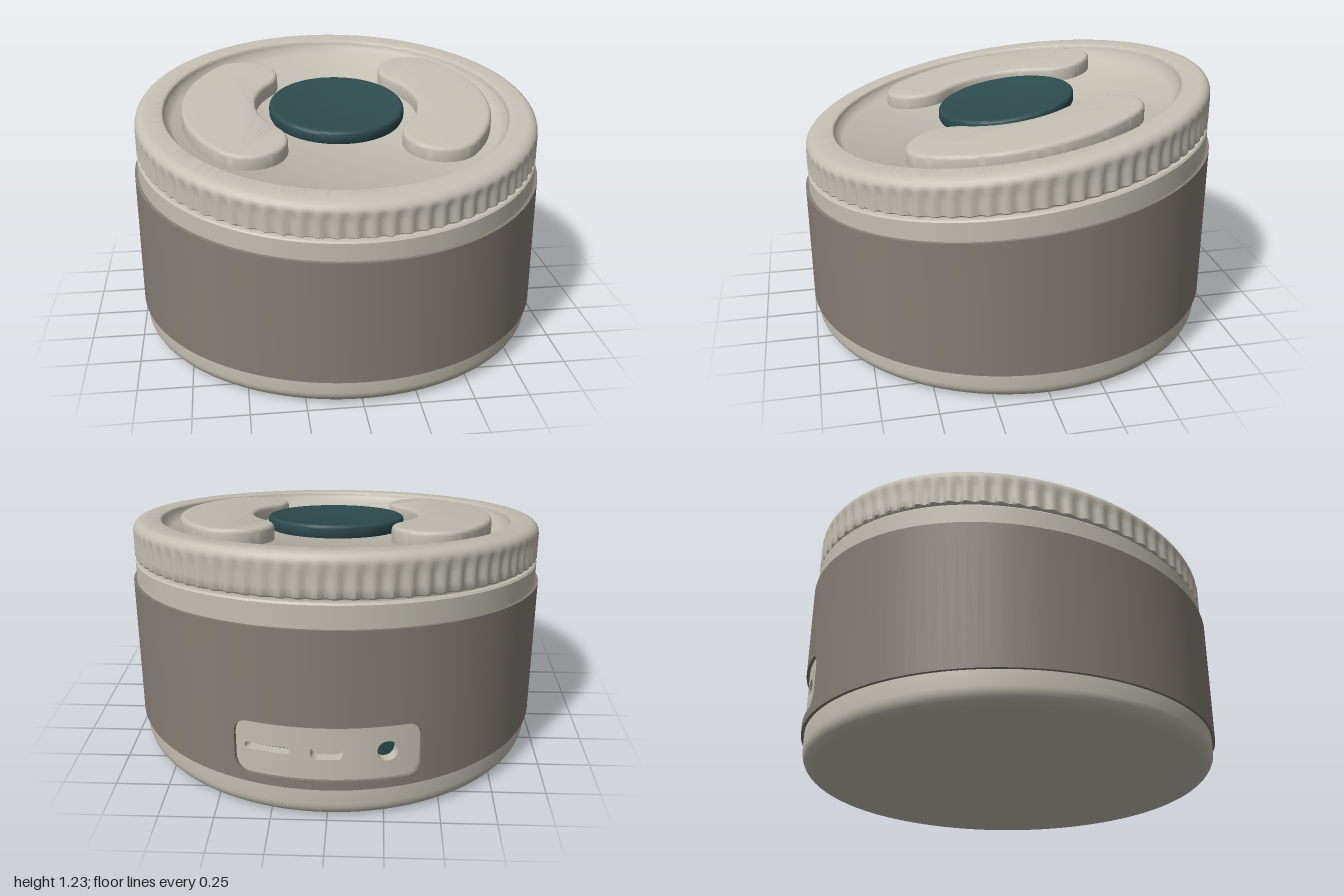
import * as THREE from 'three';
import { toCreasedNormals } from 'three/addons/utils/BufferGeometryUtils.js';

const shell = new THREE.MeshStandardMaterial({ color: 0xc4bfb3 });
shell.name = 'warmLightGrey';
const band = new THREE.MeshStandardMaterial({ color: 0x857d75 });
band.name = 'taupeGrey';
const teal = new THREE.MeshStandardMaterial({ color: 0x2d4b4d });
teal.name = 'darkTeal';

// Everything is modelled level, then slanted: the higher a point, the steeper its plane.
function slant(geometry, crease = 0.6) {
  const p = geometry.attributes.position;
  for (let i = 0; i < p.count; i++) {
    const y = p.getY(i);
    p.setY(i, y - 0.138 * Math.max(0, y - 0.03) * p.getZ(i));
  }
  return toCreasedNormals(geometry, crease);
}

function part(group, name, geometry, material, crease) {
  const mesh = new THREE.Mesh(slant(geometry, crease), material);
  mesh.name = name;
  group.add(mesh);
}

const lathe = (pts, segments = 128) =>
  new THREE.LatheGeometry(pts.map(([r, y]) => new THREE.Vector2(r, y)), segments);

// Quarter round from angle a0 to a1 around (r, y)
function arc(r, y, radius, a0, a1, n = 6) {
  return Array.from({ length: n + 1 }, (_, i) => {
    const a = a0 + (a1 - a0) * i / n;
    return [r + radius * Math.cos(a), y + radius * Math.sin(a)];
  });
}

// Point on a cylinder; angle 0 is the middle of the back
const at = (r, a, y) => [r * Math.sin(a), y, -r * Math.cos(a)];

function quadGeometry(quads) {
  const pos = [];
  for (const [a, b, c, d] of quads) pos.push(...a, ...b, ...c, ...a, ...c, ...d);
  const g = new THREE.BufferGeometry();
  g.setAttribute('position', new THREE.Float32BufferAttribute(pos, 3));
  return g;
}

// Strip of cylinder between a lower and an upper edge: columns are [angle, low, high]
function strip(r, columns) {
  return columns.slice(1).map(([a1, l1, h1], i) => {
    const [a0, l0, h0] = columns[i];
    return [at(r, a0, l0), at(r, a0, h0), at(r, a1, h1), at(r, a1, l1)];
  });
}

// Rounded opening as columns; w and h are half sizes, c the corner radius
function opening(r, { a, y, w, h, c }) {
  const n = 32;
  return Array.from({ length: n + 1 }, (_, i) => {
    const s = -w * Math.cos(Math.PI * i / n);
    const d = Math.max(0, Math.abs(s) - (w - c));
    const half = h - c + Math.sqrt(Math.max(0, c * c - d * d));
    return [a + s / r, y - half, y + half];
  });
}

// Cylinder wall with openings, each with an inner rim of the given depth
function wall(r, low, high, holes, depth) {
  const quads = [];
  let start = -Math.PI;
  const plain = (a0, a1) => {
    const n = Math.max(1, Math.ceil((a1 - a0) / 0.05));
    quads.push(...strip(r, Array.from({ length: n + 1 }, (_, i) => [a0 + (a1 - a0) * i / n, low, high])));
  };
  for (const hole of holes) {
    const cols = opening(r, hole);
    plain(start, cols[0][0]);
    quads.push(...strip(r, cols.map(([a, l]) => [a, low, l])));
    quads.push(...strip(r, cols.map(([a, , h]) => [a, h, high])));
    const loop = [...cols.map(([a, , h]) => [a, h]), ...cols.map(([a, l]) => [a, l]).reverse()];
    loop.forEach(([a, y], i) => {
      const [b, v] = loop[(i + 1) % loop.length];
      quads.push([at(r, a, y), at(r, b, v), at(r - depth, b, v), at(r - depth, a, y)]);
    });
    start = cols[cols.length - 1][0];
  }
  plain(start, Math.PI);
  return quadGeometry(quads);
}

export function createModel() {
  const model = new THREE.Group();
  model.name = 'slantedSpeaker';
  const R = 0.985;

  // Base with rounded foot, port wall and recessed neck
  const base = new THREE.Group();
  base.name = 'base';
  model.add(base);
  part(base, 'foot', lathe([[0, 0], ...arc(R - 0.07, 0.07, 0.07, -Math.PI / 2, 0, 8), [R, 0.12]]), shell);
  const ports = [
    { name: 'roundSocket', a: -0.27, y: 0.295, w: 0.047, h: 0.042, c: 0.042, back: teal },
    { name: 'ovalPort', a: 0, y: 0.295, w: 0.072, h: 0.028, c: 0.028, back: shell },
    { name: 'cardSlot', a: 0.27, y: 0.295, w: 0.105, h: 0.014, c: 0.014, back: teal },
  ];
  part(base, 'baseWall', wall(R, 0.12, 0.9, ports, 0.05), shell);
  for (const port of ports) {
    part(base, port.name, quadGeometry(strip(R - 0.05, opening(R, port))), port.back);
  }
  part(base, 'neck', lathe([[R, 0.9], [0.978, 0.908], [0.955, 0.908], [0.955, 0.92]]), shell);

  // Thin sleeve with the port window at the back
  const sleeve = new THREE.Group();
  sleeve.name = 'sleeve';
  model.add(sleeve);
  const portWindow = { a: 0, y: 0.295, w: 0.42, h: 0.115, c: 0.065 };
  part(sleeve, 'sleeveWall', wall(1, 0.14, 0.807, [portWindow], 0.015), band);
  part(sleeve, 'sleeveLowerEdge', lathe([[R, 0.14], [1, 0.14]]), band);
  part(sleeve, 'sleeveUpperEdge', lathe([[1, 0.807], [R, 0.807]]), band);

  // Fluted ring with raised rim and sunken floor
  const flutes = 80;
  const ring = lathe([
    [0.95, 0.918], [0.976, 0.918], [R, 0.926], [R, 0.96], [R, 1.0], [R, 1.02],
    ...arc(R - 0.05, 1.046, 0.05, 0, Math.PI / 2),
    ...arc(0.86, 1.081, 0.015, Math.PI / 2, Math.PI, 4),
    [0.84, 1.065], [0.808, 1.035], [0, 1.035],
  ], flutes * 6);
  const p = ring.attributes.position;
  for (let i = 0; i < p.count; i++) {
    const x = p.getX(i), y = p.getY(i), z = p.getZ(i);
    const r = Math.hypot(x, z);
    if (r < 0.96) continue;
    const fade = THREE.MathUtils.clamp((1.065 - y) / 0.05, 0, 1);
    const k = 1 - 0.014 * fade * (0.5 + 0.5 * Math.cos(flutes * Math.atan2(x, z))) / r;
    p.setX(i, x * k);
    p.setZ(i, z * k);
  }
  part(model, 'flutedRing', ring, shell, 0.75);

  // Two curved pads hugging the button
  const mid = 0.579, half = 0.18, bevel = 0.02, end = 0.685;
  const inset = half - bevel;
  for (const side of [1, -1]) {
    const turn = side > 0 ? 0 : Math.PI;
    const shape = new THREE.Shape();
    const cap = (a) => [mid * Math.cos(turn + a), mid * Math.sin(turn + a)];
    shape.absarc(0, 0, mid + inset, turn - end, turn + end, false);
    shape.absarc(...cap(end), inset, turn + end, turn + end + Math.PI, false);
    shape.absarc(0, 0, mid - inset, turn + end, turn - end, true);
    shape.absarc(...cap(-end), inset, turn - end + Math.PI, turn - end + 2 * Math.PI, false);
    const pad = new THREE.ExtrudeGeometry(shape, {
      depth: 0.06, bevelSize: bevel, bevelThickness: bevel, bevelSegments: 4, curveSegments: 24,
    });
    pad.rotateX(-Math.PI / 2).translate(0, 1.028, 0);
    part(model, side > 0 ? 'leftPad' : 'rightPad', pad, shell);
  }

  // Dished button
  const dish = [0.295, 0.24, 0.18, 0.12, 0.06, 0].map((r) => [r, 1.07 + 0.024 * (r / 0.295) ** 2]);
  part(model, 'button', lathe([
    [0.322, 1.03], [0.332, 1.05], ...arc(0.314, 1.079, 0.018, 0, Math.PI / 2, 5), ...dish,
  ], 96), teal);

  return model;
}
